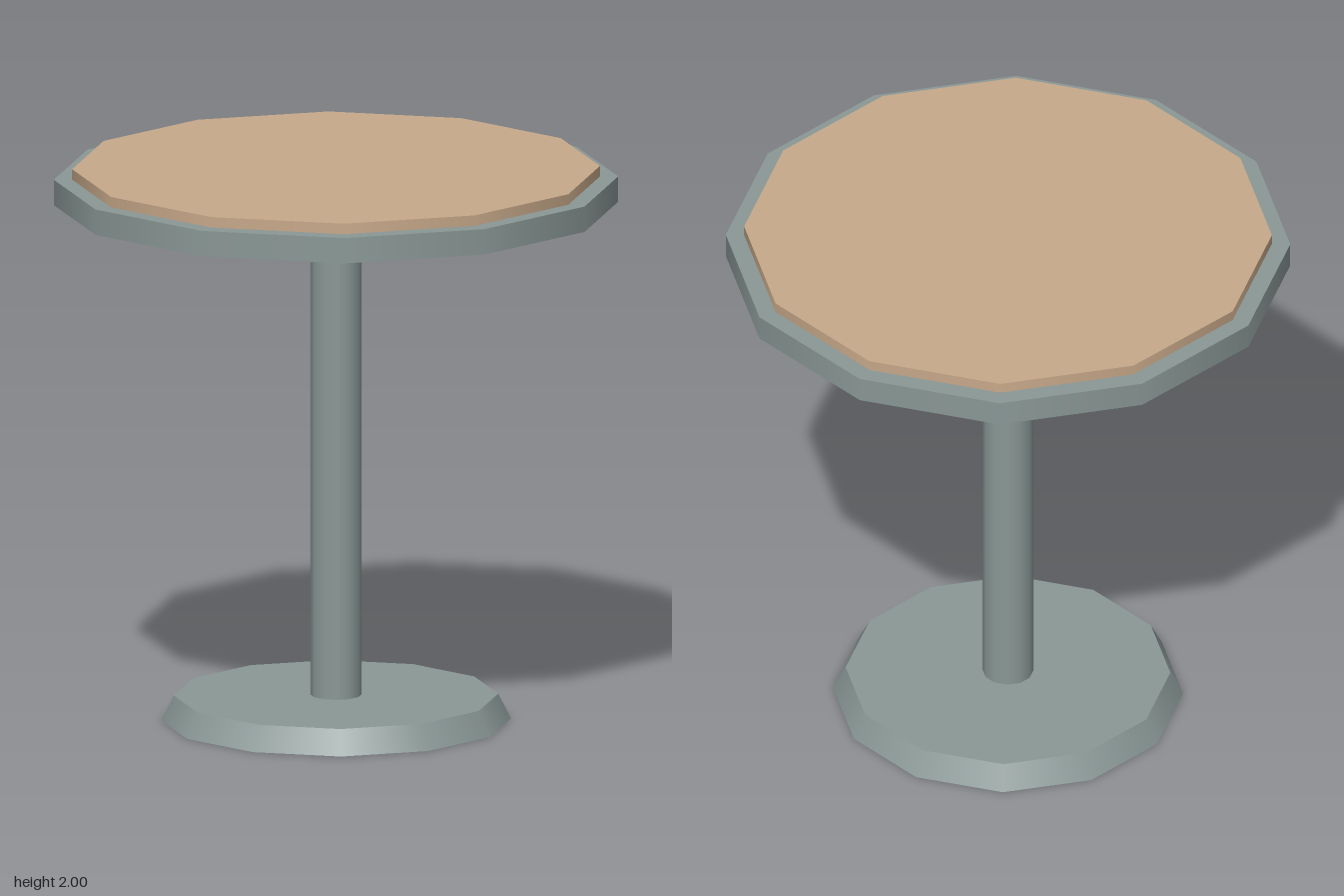
import * as THREE from 'three';

const SIDES = 12;

export function createModel() {
  const table = new THREE.Group();
  table.name = 'pedestalTable';

  const metal = new THREE.MeshStandardMaterial({ color: 0x8a9896 });
  metal.name = 'greyMetal';
  const wood = new THREE.MeshStandardMaterial({ color: 0xc8a98a });
  wood.name = 'tanWood';

  // Round, optionally tapered part standing between two heights
  const addDisc = (name, bottomRadius, topRadius, y0, y1, material) => {
    const geometry = new THREE.CylinderGeometry(topRadius, bottomRadius, y1 - y0, SIDES);
    const mesh = new THREE.Mesh(geometry, material);
    mesh.name = name;
    mesh.position.y = (y0 + y1) / 2;
    table.add(mesh);
  };

  addDisc('base', 0.62, 0.575, 0, 0.09, metal);
  addDisc('column', 0.09, 0.09, 0.09, 1.77, metal);
  addDisc('topSupport', 0.26, 0.47, 1.77, 1.87, metal);
  addDisc('tabletopRim', 1, 1, 1.87, 1.962, metal);
  addDisc('tabletopSurface', 0.935, 0.935, 1.962, 2, wood);

  return table;
}
